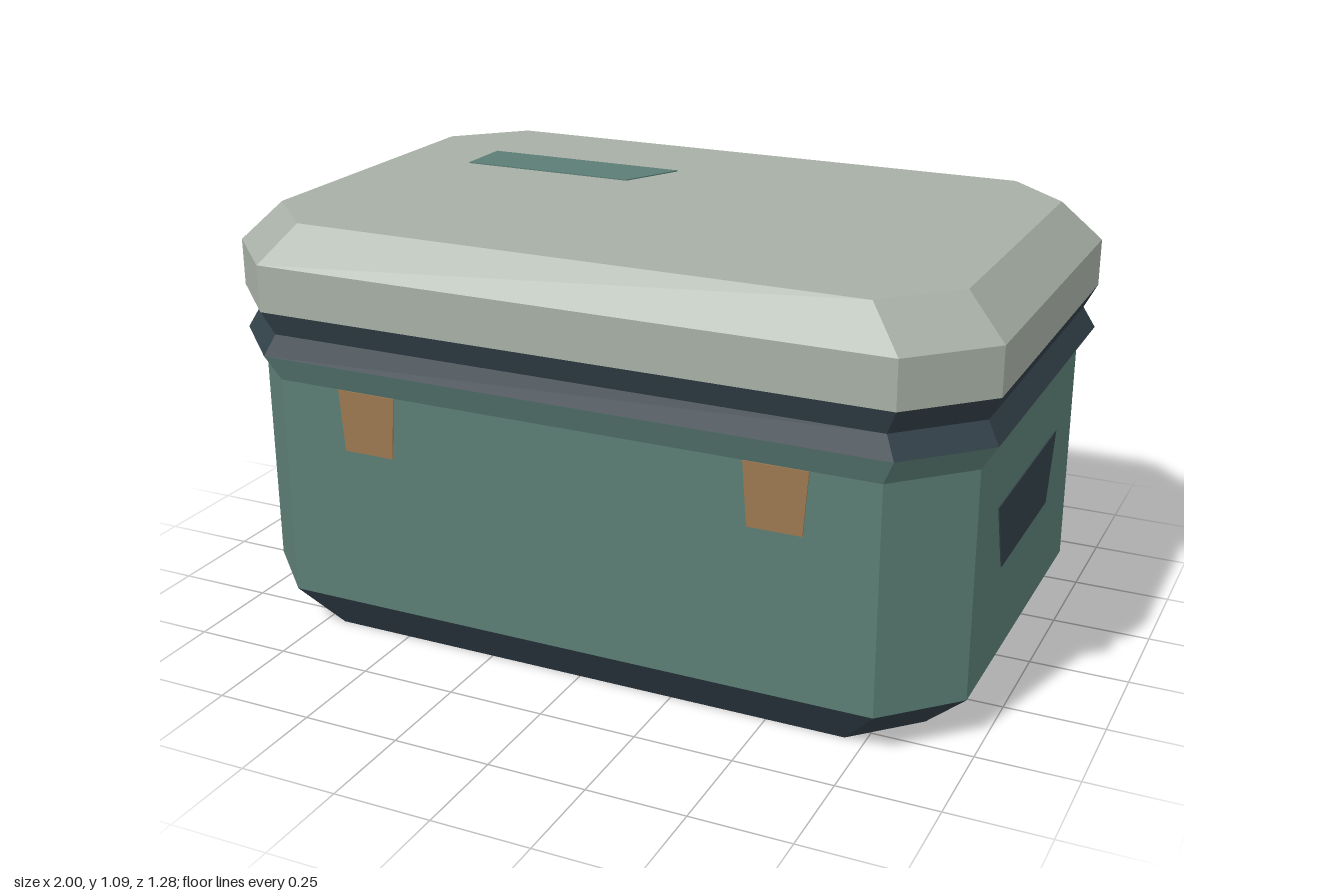
import * as THREE from 'three';

const mat = (name, color) => {
  const m = new THREE.MeshStandardMaterial({ color });
  m.name = name;
  return m;
};

// Cross-sections: [y, half width, half depth, corner cut]
const FOOT = [0, 0.85, 0.545, 0.15];
const BODY_LOW = [0.11, 0.96, 0.615, 0.17];
const BODY_TOP = [0.69, 0.96, 0.615, 0.17];
const RIM = [0.755, 1, 0.64, 0.18];
const GROOVE = [0.81, 0.97, 0.62, 0.175];
const LID_LOW = [0.87, 1, 0.64, 0.18];
const LID_EDGE = [0.99, 1, 0.64, 0.18];
const LID_TOP = [1.09, 0.9, 0.577, 0.163];

// Octagon corners, counter-clockwise seen from above
const ring = ([y, w, d, c]) => [
  [w, d - c], [w, c - d], [w - c, -d], [c - w, -d],
  [-w, c - d], [-w, d - c], [c - w, d], [w - c, d],
].map(([x, z]) => [x, y, z]);

// Faceted shell through the sections, with optional flat caps
function shell(name, sections, material, capBottom = false, capTop = false) {
  const pos = [];
  const tri = (a, b, c) => pos.push(...a, ...b, ...c);
  const rings = sections.map(ring);
  for (let s = 0; s < rings.length - 1; s++) {
    const lo = rings[s], hi = rings[s + 1];
    for (let i = 0; i < 8; i++) {
      const j = (i + 1) % 8;
      tri(lo[i], lo[j], hi[j]);
      tri(lo[i], hi[j], hi[i]);
    }
  }
  const first = rings[0], last = rings[rings.length - 1];
  for (let i = 1; i < 7; i++) {
    if (capBottom) tri(first[0], first[i + 1], first[i]);
    if (capTop) tri(last[0], last[i], last[i + 1]);
  }
  const geo = new THREE.BufferGeometry();
  geo.setAttribute('position', new THREE.Float32BufferAttribute(pos, 3));
  geo.computeVertexNormals();
  const mesh = new THREE.Mesh(geo, material);
  mesh.name = name;
  return mesh;
}

// Thin plate cut from a 2D outline
function plate(name, points, material) {
  const shape = new THREE.Shape(points.map(([x, y]) => new THREE.Vector2(x, y)));
  const geo = new THREE.ExtrudeGeometry(shape, { depth: 0.003, bevelEnabled: false });
  const mesh = new THREE.Mesh(geo, material);
  mesh.name = name;
  return mesh;
}

export function createModel() {
  const teal = mat('teal', 0x5b7d75);
  const navy = mat('dark navy', 0x324049);
  const grey = mat('lid grey', 0xa6afa5);
  const copper = mat('copper', 0x9c7850);

  const model = new THREE.Group();
  model.name = 'storageCrate';
  model.add(
    shell('base', [FOOT, BODY_LOW], navy, true),
    shell('body', [BODY_LOW, BODY_TOP, RIM], teal),
    shell('seal', [RIM, GROOVE, LID_LOW], navy),
    shell('lid', [LID_LOW, LID_EDGE, LID_TOP], grey, false, true),
  );

  for (const side of [1, -1]) {
    // Latches on front and back
    for (const x of [-0.54, 0.54]) {
      const latch = plate('latch', [[-0.068, 0.53], [0.068, 0.53], [0.08, 0.69], [-0.08, 0.69]], copper);
      latch.position.set(x, 0, side * 0.615);
      latch.rotation.y = side > 0 ? 0 : Math.PI;
      model.add(latch);
    }
    // Handle recess on each end
    const handle = plate('handle', [[-0.21, 0.35], [0.21, 0.35], [0.27, 0.527], [-0.27, 0.527]], navy);
    handle.position.x = side * 0.96;
    handle.rotation.y = side * Math.PI / 2;
    model.add(handle);
  }

  // Slanted marker on the lid
  const marker = plate('lidMarker', [[-0.68, 0.145], [-0.2, 0.145], [-0.12, 0.297], [-0.68, 0.297]], teal);
  marker.rotation.x = -Math.PI / 2;
  marker.position.y = 1.09;
  model.add(marker);

  return model;
}
